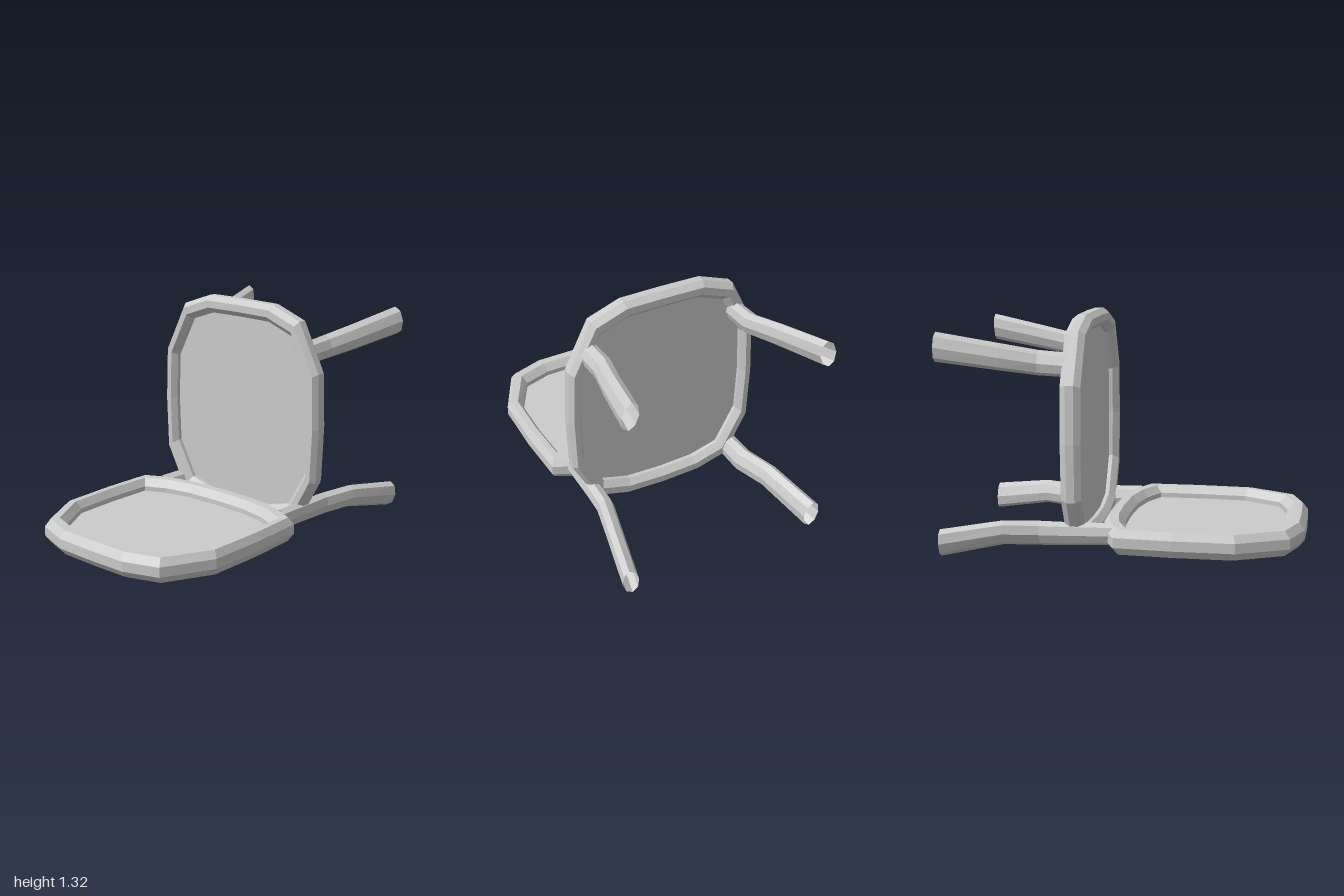
import * as THREE from 'three';

const material = new THREE.MeshStandardMaterial({ color: 0xcccccc, flatShading: true, side: THREE.DoubleSide });

// Surface through closed loops of equal length; closeLoops joins the last loop to the first
function loft(loops, closeLoops) {
  const n = loops[0].length, positions = [], index = [];
  loops.forEach(loop => loop.forEach(p => positions.push(...p)));
  const spans = closeLoops ? loops.length : loops.length - 1;
  for (let i = 0; i < spans; i++) {
    for (let j = 0; j < n; j++) {
      const a = i * n + j, b = i * n + (j + 1) % n;
      const k = ((i + 1) % loops.length) * n;
      const c = k + j, d = k + (j + 1) % n;
      index.push(a, b, c, b, d, c);
    }
  }
  const geometry = new THREE.BufferGeometry();
  geometry.setAttribute('position', new THREE.Float32BufferAttribute(positions, 3));
  geometry.setIndex(index);
  const flat = geometry.toNonIndexed();
  flat.computeVertexNormals();
  return flat;
}

function addMesh(parent, name, geometry) {
  const mesh = new THREE.Mesh(geometry, material);
  mesh.name = name;
  parent.add(mesh);
}

// Bevelled rim section: [inset fraction, depth fraction]
const SECTION = [[0, 0.4], [0.27, 1], [0.68, 1], [1, 0.4], [1, -0.4], [0.68, -1], [0.27, -1], [0, -0.4]];

// Framed panel in the XY plane, from the outline of its +x half (bottom to top)
function framedPanel(name, half, halfDepth, insetX, insetY) {
  const mirrored = half.slice(1, -1).reverse().map(([x, y]) => [-x, y]);
  const outline = [...half, ...mirrored];
  const halfWidth = Math.max(...half.map(p => p[0]));
  const bottom = half[0][1], top = half[half.length - 1][1];
  const mid = (bottom + top) / 2, halfHeight = (top - bottom) / 2;
  const inset = t => outline.map(([x, y]) => [
    x * (1 - t * insetX / halfWidth),
    mid + (y - mid) * (1 - t * insetY / halfHeight),
  ]);
  const group = new THREE.Group();
  group.name = name;
  const loops = SECTION.map(([t, h]) => inset(t).map(([x, y]) => [x, y, h * halfDepth]));
  addMesh(group, name + 'Rim', loft(loops, true));
  const shape = new THREE.Shape(inset(1).map(([x, y]) => new THREE.Vector2(x, y)));
  addMesh(group, name + 'Panel', new THREE.ShapeGeometry(shape));
  return group;
}

// Open eight-sided leg: stations are [x, y, z, radiusX, radiusY]
function leg(stations, side, tilt) {
  const loops = stations.map(([x, y, z, rx, ry]) => {
    const loop = [];
    for (let i = 0; i < 8; i++) {
      const a = i * Math.PI / 4;
      const u = Math.cos(a) * rx, v = Math.sin(a) * ry;
      loop.push([side * (x + u + v * tilt), y + v, z]);
    }
    return side > 0 ? loop.reverse() : loop;
  });
  return loft(loops, false);
}

export function createModel() {
  const model = new THREE.Group();
  model.name = 'chair';

  // Seat, standing upright
  const seat = framedPanel('seat', [
    [0, 0.02], [0.24, 0.03], [0.43, 0.085], [0.565, 0.34], [0.578, 0.66],
    [0.567, 0.98], [0.43, 1.26], [0.24, 1.33], [0, 1.333],
  ], 0.057, 0.075, 0.1);
  seat.position.z = -0.255;
  model.add(seat);

  // Backrest, lying flat in front of the seat
  const backrest = framedPanel('backrest', [
    [0, -0.145], [0.24, -0.135], [0.43, -0.095], [0.58, -0.02], [0.592, 0.3],
    [0.583, 0.64], [0.44, 0.92], [0.24, 0.99], [0, 0.995],
  ], 0.07, 0.088, 0.12);
  backrest.rotation.x = Math.PI / 2;
  backrest.position.y = 0.135;
  model.add(backrest);

  // Two front legs, and two rear legs that run on to the backrest
  const frontLeg = [
    [0.45, 1.075, -0.27, 0.05, 0.066], [0.45, 1.085, -0.45, 0.052, 0.068],
    [0.5, 1.118, -0.65, 0.05, 0.073], [0.57, 1.174, -0.99, 0.049, 0.08],
  ];
  const rearLeg = [
    [0.45, 0.148, -0.04, 0.05, 0.064], [0.447, 0.138, -0.3, 0.05, 0.068],
    [0.45, 0.136, -0.45, 0.052, 0.071], [0.5, 0.143, -0.65, 0.05, 0.07],
    [0.57, 0.087, -0.99, 0.049, 0.078],
  ];
  for (const [label, side] of [['left', 1], ['right', -1]]) {
    addMesh(model, label + 'FrontLeg', leg(frontLeg, side, -0.12));
    addMesh(model, label + 'RearLeg', leg(rearLeg, side, 0.12));
  }
  return model;
}
